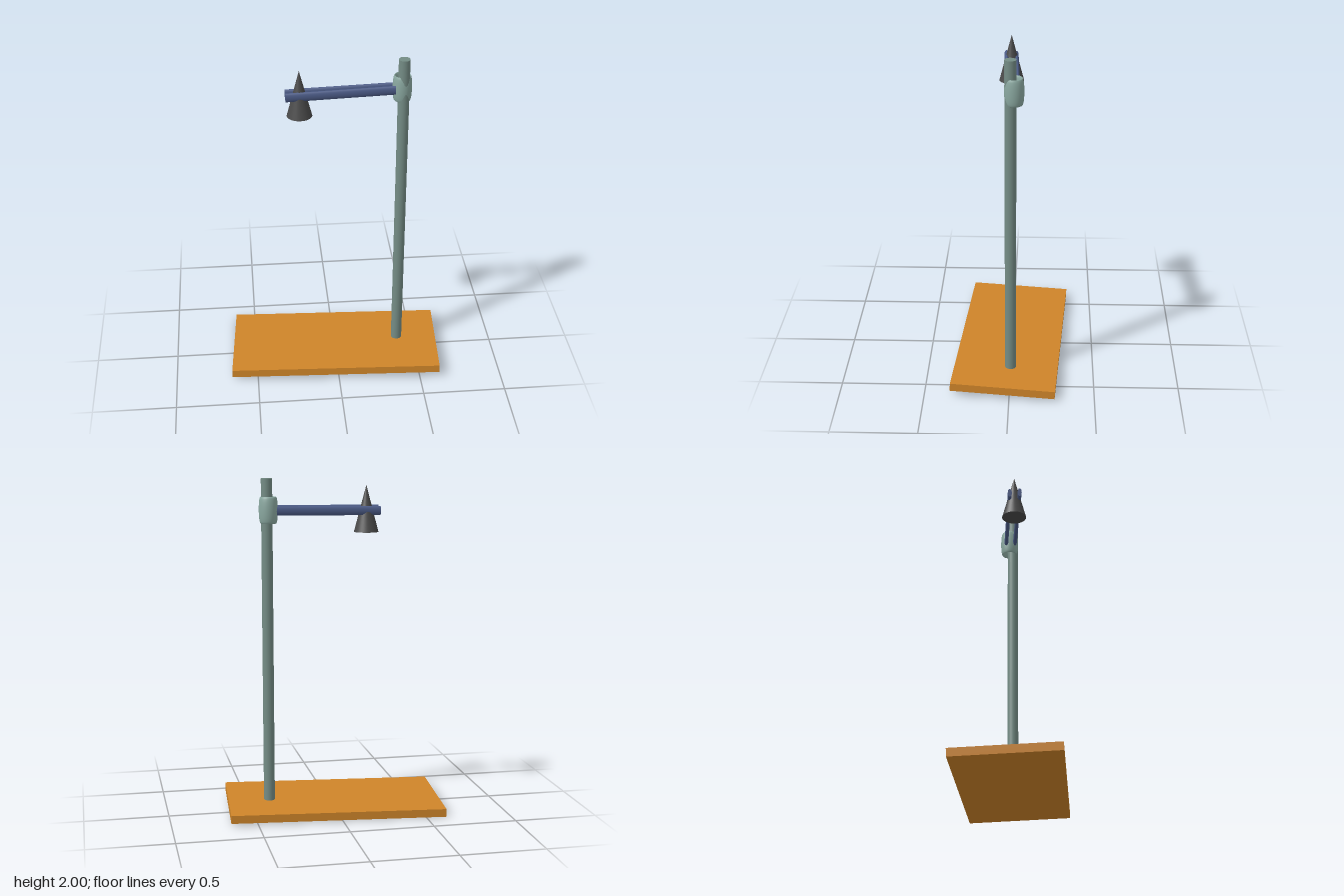
import * as THREE from 'three';

export function createModel() {
  const model = new THREE.Group();
  const paint = (color) => new THREE.MeshStandardMaterial({ color });
  const steel = paint(0x748c85), clampGreen = paint(0x8aa8a0);
  const blue = paint(0x4c5c88), wood = paint(0xcf8529), dark = paint(0x4a4a4a);

  function add(name, geometry, material, x, y, z) {
    const mesh = new THREE.Mesh(geometry, material);
    mesh.name = name;
    mesh.position.set(x, y, z);
    model.add(mesh);
    return mesh;
  }

  // Base board, slightly turned and tilted
  const base = add('base', new THREE.BoxGeometry(1.28, 0.048, 0.617), wood, 0, 0.045, 0);
  base.rotation.set(-0.036, -0.0625, 0.0095, 'XZY');

  // Upright pole
  add('pole', new THREE.CylinderGeometry(0.033, 0.033, 1.95, 32), steel, 0.393, 1.025, -0.002);

  // Clamp: a tall, thin-walled ring with rounded rims
  const ring = new THREE.TorusGeometry(0.045, 0.0105, 20, 40);
  ring.rotateX(Math.PI / 2);
  ring.scale(1, 7.4, 1);
  add('clampRing', ring, clampGreen, 0.387, 1.818, -0.023);

  // Two jaw rods with a tall oval section, given by their end points
  function addRod(name, a, b) {
    const start = new THREE.Vector3(...a), end = new THREE.Vector3(...b);
    const rod = new THREE.CylinderGeometry(1, 1, start.distanceTo(end), 24);
    rod.rotateZ(Math.PI / 2);
    rod.scale(1, 0.027, 0.0125);
    const mid = start.clone().add(end).multiplyScalar(0.5);
    const mesh = add(name, rod, blue, mid.x, mid.y, mid.z);
    const d = end.sub(start);
    mesh.rotation.set(0, -Math.atan2(d.z, d.x), Math.atan2(d.y, d.x), 'YZX');
  }
  addRod('frontJaw', [-0.283, 1.81, 0.042], [0.344, 1.817, 0.012]);
  addRod('backJaw', [-0.283, 1.806, -0.018], [0.4, 1.814, -0.046]);

  // Cone held between the jaws
  add('cone', new THREE.ConeGeometry(0.073, 0.277, 40), dark, -0.203, 1.818, 0.008);

  return model;
}
